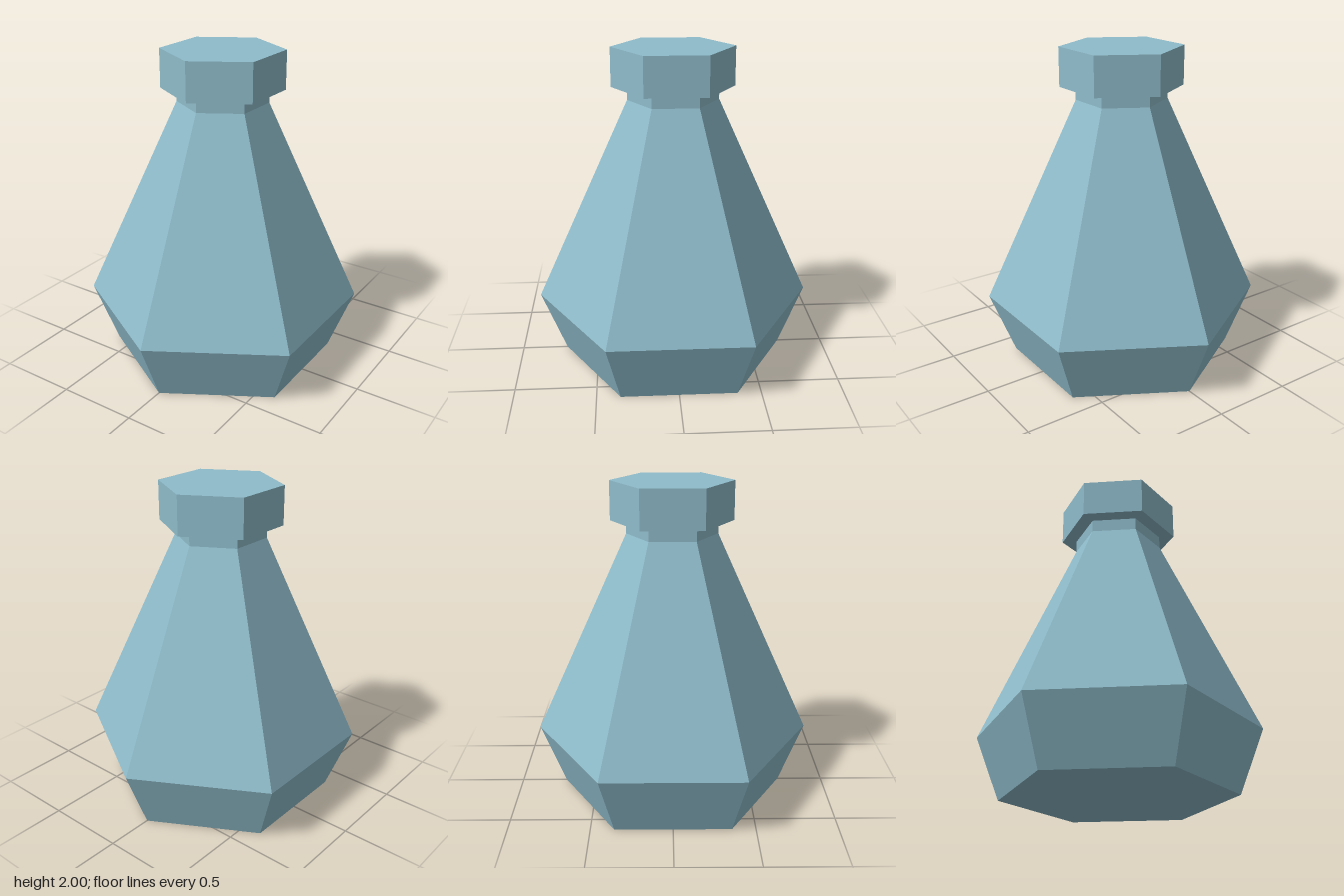
import * as THREE from 'three';

const SIDES = 6;

export function createModel() {
  const group = new THREE.Group();
  const material = new THREE.MeshStandardMaterial({ color: 0x8fbccb, flatShading: true });

  // Hexagonal section with a corner facing front, spanning y0 to y1
  const addSection = (name, y0, r0, y1, r1, openEnded = false) => {
    const geometry = new THREE.CylinderGeometry(r1, r0, y1 - y0, SIDES, 1, openEnded);
    const mesh = new THREE.Mesh(geometry, material);
    mesh.name = name;
    mesh.position.y = (y0 + y1) / 2;
    group.add(mesh);
    return mesh;
  };

  // Bottle body: flared base, long tapering shoulder, short neck
  addSection('base', 0, 0.71, 0.393, 0.866);
  addSection('shoulder', 0.393, 0.866, 1.68, 0.279, true);
  addSection('neck', 1.68, 0.279, 1.76, 0.279, true);

  // Wide stopper on top
  addSection('stopper', 1.76, 0.375, 2, 0.375);

  return group;
}
